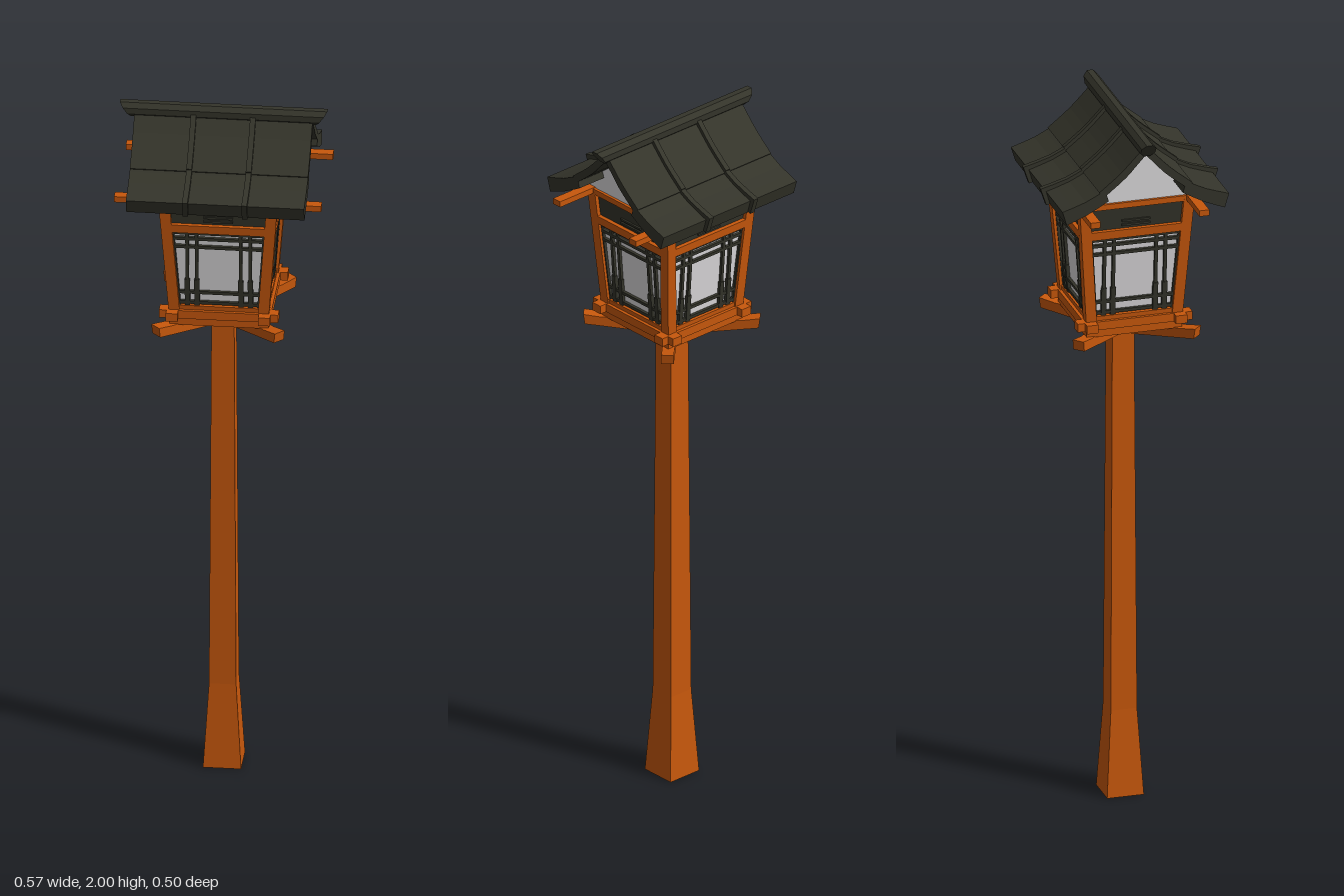
import * as THREE from 'three';

const mat = (name, color) => {
  const m = new THREE.MeshStandardMaterial({ color });
  m.name = name;
  return m;
};

export function createModel() {
  const orange = mat('orange wood', 0xc8580c);
  const dark = mat('dark wood', 0x34342a);
  const paper = mat('paper', 0xdcdadc);
  const model = new THREE.Group();
  model.name = 'postLantern';

  const add = (parent, name, geo, material, x = 0, y = 0, z = 0) => {
    const mesh = new THREE.Mesh(geo, material);
    mesh.name = name;
    mesh.position.set(x, y, z);
    parent.add(mesh);
    return mesh;
  };
  const box = (parent, name, material, w, h, d, x, y, z) =>
    add(parent, name, new THREE.BoxGeometry(w, h, d), material, x, y, z);

  // Extrudes a side profile (z, y) symmetrically along x
  const prism = (points, width) => {
    const shape = new THREE.Shape(points.map(([z, y]) => new THREE.Vector2(z, y)));
    const geo = new THREE.ExtrudeGeometry(shape, { depth: width, bevelEnabled: false });
    return geo.translate(0, 0, -width / 2).rotateY(Math.PI / 2);
  };
  const curve = (pts, n) =>
    new THREE.SplineCurve(pts.map(p => new THREE.Vector2(...p))).getPoints(n).map(p => [p.x, p.y]);
  const mirrored = half => [...half, ...half.slice().reverse().map(([z, y]) => [-z, y])]
    .filter((p, i, a) => i === 0 || Math.hypot(p[0] - a[i - 1][0], p[1] - a[i - 1][1]) > 1e-5);

  // Square post, flared at the foot
  const profile = [[0, 0], [0.052, 0], [0.037, 0.25], [0.031, 1.35], [0.036, 1.352], [0.036, 1.39], [0, 1.39]];
  const postGeo = new THREE.LatheGeometry(
    profile.map(([r, y]) => new THREE.Vector2(r * Math.SQRT2, y)), 4, Math.PI / 4).toNonIndexed();
  postGeo.computeVertexNormals();
  add(model, 'post', postGeo, orange);

  // Diagonal bracket arms under the floor
  const arm = mirrored([[0, 1.352], [0.06, 1.354], [0.2, 1.37], [0.236, 1.374], [0.24, 1.403], [0.19, 1.396], [0, 1.396]]);
  for (const s of [-1, 1]) {
    add(model, 'bracketArm', prism(arm, 0.034), orange).rotation.y = s * Math.PI / 4;
  }
  box(model, 'floor', orange, 0.27, 0.025, 0.27, 0, 1.406, 0);

  // Four leaning lattice walls
  const buildWall = () => {
    const wall = new THREE.Group();
    wall.name = 'wall';
    box(wall, 'sill', orange, 0.325, 0.024, 0.032, 0, 1.428, 0.126);
    const panel = new THREE.Group();
    panel.name = 'latticePanel';
    panel.position.set(0, 1.44, 0.117);
    panel.rotation.x = 0.075;
    wall.add(panel);

    // Widens towards the top to follow the corner posts
    const trapezoid = (name, material, y0, y1, depth, z) => {
      const geo = new THREE.BoxGeometry(1, y1 - y0, depth);
      const pos = geo.attributes.position;
      for (let i = 0; i < pos.count; i++) {
        const y = pos.getY(i) + (y0 + y1) / 2;
        pos.setX(i, Math.sign(pos.getX(i)) * (0.116 + 0.075 * y));
      }
      geo.computeVertexNormals();
      return add(panel, name, geo, material, 0, (y0 + y1) / 2, z);
    };
    trapezoid('paperPanel', paper, 0, 0.255, 0.008, 0);
    trapezoid('headerBoard', dark, 0.265, 0.335, 0.01, 0.004);
    trapezoid('upperRail', orange, 0.247, 0.271, 0.024, 0.008);
    trapezoid('lowerRail', orange, 0, 0.014, 0.02, 0.006);
    for (const y of [0.022, 0.054, 0.198, 0.224, 0.242]) {
      trapezoid('latticeBar', dark, y - 0.0045, y + 0.0045, 0.01, 0.007);
    }
    for (const s of [-1, 1]) {
      for (const x of [0.06, 0.086]) {
        box(panel, 'latticeUpright', dark, 0.009, 0.24, 0.01, s * x, 0.127, 0.007);
        box(panel, 'latticeFoot', dark, 0.014, 0.09, 0.013, s * x, 0.05, 0.007);
      }
      const stile = box(panel, 'latticeStile', dark, 0.009, 0.25, 0.01, s * 0.117, 0.125, 0.007);
      stile.rotation.z = -s * 0.075;
    }
    for (const y of [0.282, 0.294]) {
      box(panel, 'headerSlat', dark, 0.08, 0.006, 0.008, 0, y, 0.01);
    }
    return wall;
  };
  for (let i = 0; i < 4; i++) {
    const wall = buildWall();
    wall.rotation.y = i * Math.PI / 2;
    model.add(wall);
  }

  // Leaning corner posts
  for (const sx of [-1, 1]) for (const sz of [-1, 1]) {
    const geo = new THREE.BoxGeometry(0.03, 0.36, 0.03);
    const pos = geo.attributes.position;
    for (let i = 0; i < pos.count; i++) {
      const c = 0.134 + 0.075 * pos.getY(i);
      pos.setXYZ(i, pos.getX(i) + sx * c, pos.getY(i), pos.getZ(i) + sz * c);
    }
    geo.computeVertexNormals();
    add(model, 'cornerPost', geo, orange, 0, 1.6, 0);
  }

  // Crossed top beams and gable panels
  for (const s of [-1, 1]) {
    box(model, 'eaveBeam', orange, 0.565, 0.017, 0.028, 0, 1.784, s * 0.154);
    box(model, 'crossBeam', orange, 0.028, 0.016, 0.36, s * 0.148, 1.782, 0);
    const gable = mirrored([[0, 1.785], [0.165, 1.785], [0.165, 1.81], [0.11, 1.855], [0.06, 1.9], [0, 1.965]]);
    add(model, 'gablePanel', prism(gable, 0.008), paper, s * 0.15, 0, 0);
  }

  // Concave roof shell: upper layer, thicker eave layer and raised ribs
  const top = [[0, 1.985], [0.03, 1.953], [0.075, 1.908], [0.132, 1.862]];
  const under = [[0.12, 1.845], [0.06, 1.893], [0.025, 1.93], [0, 1.957]];
  const lift = (pts, d) => pts.map(([z, y]) => [z + d * 0.5, y + d]);
  add(model, 'upperRoof', prism(mirrored([...curve(top, 8), ...curve(under, 8)]), 0.486), dark);
  const eave = (d, reach) => [
    ...lift(curve([[0.115, 1.867], [0.17, 1.839], [0.236 + reach, 1.817]], 4), d),
    ...curve([[0.224 + reach, 1.777], [0.165, 1.801], [0.105, 1.834]], 4)];
  const flip = pts => pts.map(([z, y]) => [-z, y]);
  for (const side of [p => p, flip]) {
    add(model, 'eaveRoof', prism(side(eave(0, 0)), 0.486), dark);
    for (const x of [-0.081, 0.081]) {
      add(model, 'eaveRib', prism(side(eave(0.009, 0.011)), 0.015), dark, x);
    }
  }
  const ribTop = curve(top, 8).map(([z, y]) => [z === 0 ? 0 : z + 0.005, y + 0.009]);
  for (const x of [-0.081, 0.081]) {
    add(model, 'upperRib', prism(mirrored([...ribTop, ...curve(under, 8)]), 0.015), dark, x);
  }

  // Octagonal ridge pole, ends undercut
  const ridge = new THREE.CylinderGeometry(0.0225, 0.0225, 0.53, 8, 1).rotateZ(Math.PI / 2).rotateX(Math.PI / 8)
    .toNonIndexed();
  const rp = ridge.attributes.position;
  for (let i = 0; i < rp.count; i++) {
    const end = 0.268 + rp.getY(i) * 0.72;
    rp.setX(i, Math.sign(rp.getX(i)) * end);
  }
  ridge.computeVertexNormals();
  add(model, 'ridgePole', ridge, dark, 0, 1.979, 0);

  return model;
}
